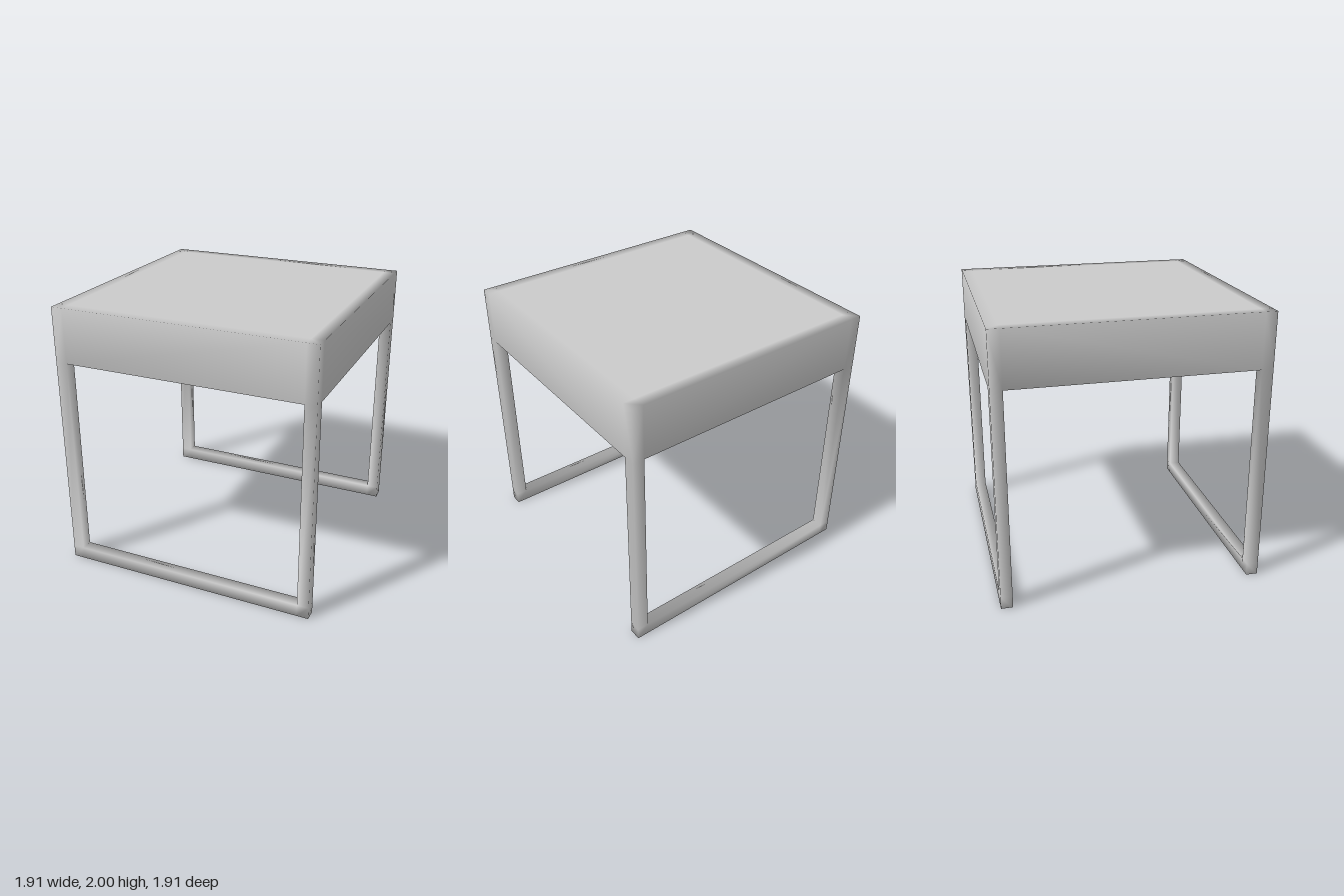
import * as THREE from 'three';

// Grid lines shared by seat and legs: outer face, wall thickness, opening.
// The last height is the underside of the thin top panel.
const side = [-0.955, -0.87, 0.87, 0.955];
const lines = [side, [0, 0.09, 1.6, 2, 1.995], side];
const TOP = 3, CEILING = 4;

// Which part fills a grid cell (null = empty)
function partAt([x, y, z]) {
  if (x < 0 || x > 2 || y < 0 || y > 2 || z < 0 || z > 2) return null;
  if (y === 2) return x === 1 && z === 1 ? null : 'seat';      // apron around the hollow
  if (z === 1 || (y === 1 && x === 1)) return null;            // open between the legs
  return z === 2 ? 'frontLegFrame' : 'backLegFrame';           // legs and floor rail
}

export function createModel() {
  const group = new THREE.Group();
  const positions = [];
  const ids = new Map();
  const faces = { seat: [], frontLegFrame: [], backLegFrame: [] };

  // One shared vertex per grid corner, so shading flows across parts
  const vertex = (c) => {
    const key = c.join();
    if (!ids.has(key)) {
      ids.set(key, positions.length / 3);
      positions.push(...c.map((n, axis) => lines[axis][n]));
    }
    return ids.get(key);
  };

  // One side of a cell; sides lining the hollow end at the ceiling
  const addFace = (part, cell, axis, dir, inHollow, flip) => {
    const quad = [[0, 0], [1, 0], [1, 1], [0, 1]].map(([u, v]) => {
      const c = [...cell];
      c[axis] += dir;
      c[(axis + 1) % 3] += u;
      c[(axis + 2) % 3] += v;
      if (inHollow && c[1] === TOP) c[1] = CEILING;
      return vertex(c);
    });
    if (flip) quad.reverse();
    const [a, b, c, d] = quad;
    faces[part].push(a, b, c, a, c, d);
  };

  // Skin every filled cell wherever it borders empty space
  const hollow = [1, 2, 1];
  for (let x = 0; x < 3; x++) for (let y = 0; y < 3; y++) for (let z = 0; z < 3; z++) {
    const cell = [x, y, z];
    const part = partAt(cell);
    if (!part) continue;
    for (let axis = 0; axis < 3; axis++) for (const dir of [0, 1]) {
      const next = [...cell];
      next[axis] += dir ? 1 : -1;
      if (!partAt(next)) addFace(part, cell, axis, dir, next.join() === hollow.join(), !dir);
    }
  }

  // Thin top panel over the hollow: upper side and underside
  addFace('seat', hollow, 1, 1, false, false);
  addFace('seat', hollow, 1, 1, true, true);

  // Smooth normals over the whole skin
  const whole = new THREE.BufferGeometry();
  whole.setAttribute('position', new THREE.Float32BufferAttribute(positions, 3));
  whole.setIndex(Object.values(faces).flat());
  whole.computeVertexNormals();

  // Split into named parts
  const material = new THREE.MeshStandardMaterial({ color: 0xcccccc });
  for (const [name, index] of Object.entries(faces)) {
    const geometry = new THREE.BufferGeometry();
    geometry.setAttribute('position', whole.getAttribute('position').clone());
    geometry.setAttribute('normal', whole.getAttribute('normal').clone());
    geometry.setIndex(index);
    const mesh = new THREE.Mesh(geometry, material);
    mesh.name = name;
    group.add(mesh);
  }
  group.name = 'stool';
  return group;
}
